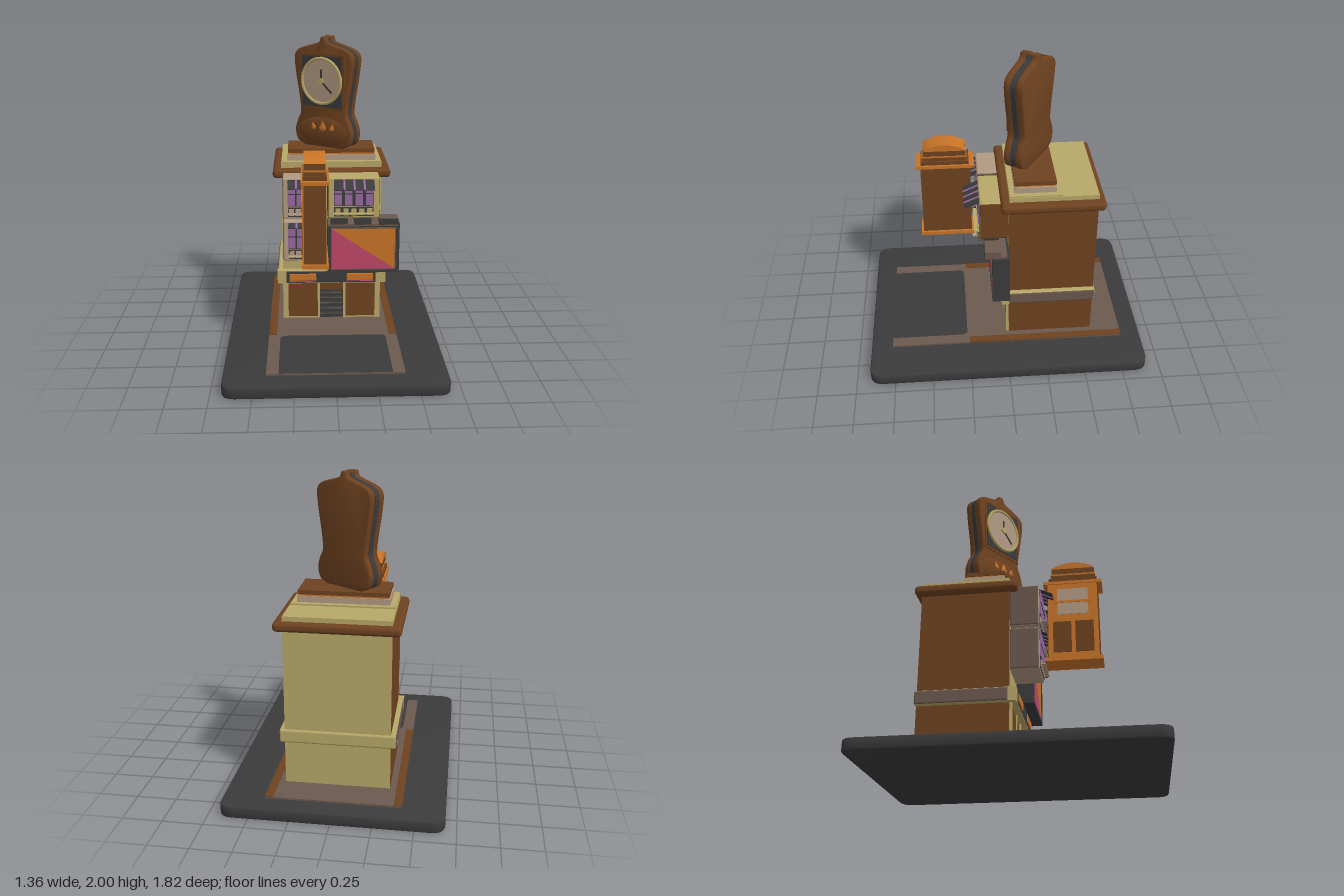
import * as THREE from 'three';
import { RoundedBoxGeometry } from 'three/addons/geometries/RoundedBoxGeometry.js';
import { toCreasedNormals } from 'three/addons/utils/BufferGeometryUtils.js';

const paint = (name, color) => {
  const m = new THREE.MeshStandardMaterial({ color });
  m.name = name;
  return m;
};

export function createModel() {
  const brown = paint('brown wood', 0x6e4220), dark = paint('charcoal', 0x3b3b3b);
  const cream = paint('cream', 0xb8a768), orange = paint('orange wood', 0xc87428);
  const taupe = paint('taupe', 0x6b594e), beige = paint('beige', 0xb29a82);
  const purple = paint('purple', 0x98699f), magenta = paint('magenta', 0xbe4668);
  const model = new THREE.Group();
  model.name = 'clockCabinet';

  const add = (parent, name, geo, mat, x = 0, y = 0, z = 0) => {
    const m = new THREE.Mesh(geo, mat);
    m.name = name;
    m.position.set(x, y, z);
    parent.add(m);
    return m;
  };
  // Box given by its bounds, optionally rounded
  const box = (parent, name, mat, x0, x1, y0, y1, z0, z1, r = 0) => {
    const s = [x1 - x0, y1 - y0, z1 - z0];
    const geo = r ? new RoundedBoxGeometry(...s, 3, r) : new THREE.BoxGeometry(...s);
    return add(parent, name, geo, mat, (x0 + x1) / 2, (y0 + y1) / 2, (z0 + z1) / 2);
  };
  const group = (name, parent = model) => {
    const g = new THREE.Group();
    g.name = name;
    parent.add(g);
    return g;
  };
  const sides = (side, rest) => [side, side, rest, rest, rest, rest];

  // Base slab with rounded corners
  const slab = new THREE.Shape();
  const w = 0.67, d = 0.9, r = 0.07;
  slab.moveTo(-w + r, -d).lineTo(w - r, -d).quadraticCurveTo(w, -d, w, -d + r)
    .lineTo(w, d - r).quadraticCurveTo(w, d, w - r, d)
    .lineTo(-w + r, d).quadraticCurveTo(-w, d, -w, d - r)
    .lineTo(-w, -d + r).quadraticCurveTo(-w, -d, -w + r, -d);
  const slabGeo = new THREE.ExtrudeGeometry(slab, {
    depth: 0.055, bevelThickness: 0.01, bevelSize: 0.012, bevelSegments: 2, curveSegments: 6 });
  slabGeo.rotateX(-Math.PI / 2);
  add(model, 'base', toCreasedNormals(slabGeo, 0.6), dark, 0, 0.01, 0);

  // Floor mat
  const mat = group('floorMat');
  box(mat, 'matField', taupe, -0.42, 0.42, 0.075, 0.086, -0.78, 0.77);
  for (const s of [-1, 1])
    box(mat, 'matStrip', brown, s * 0.395 - 0.025, s * 0.395 + 0.025, 0.075, 0.09, -0.78, 0.25);
  const carpet = new THREE.Shape();
  carpet.moveTo(-0.345, -0.77).lineTo(0.345, -0.77).lineTo(0.345, -0.29).lineTo(0.325, -0.265)
    .lineTo(-0.325, -0.265).lineTo(-0.345, -0.29);
  add(mat, 'carpet', new THREE.ShapeGeometry(carpet), dark, 0, 0.0875, 0).rotation.x = -Math.PI / 2;

  // Cabinet body with a stair recess in the lower half
  const cabinet = group('cabinet');
  const wood = sides(brown, cream);
  box(cabinet, 'upperBody', wood, -0.33, 0.33, 0.36, 1.12, -0.58, -0.015);
  box(cabinet, 'lowerBack', wood, -0.33, 0.33, 0.08, 0.36, -0.58, -0.22);
  box(cabinet, 'recessLintel', brown, -0.08, 0.08, 0.29, 0.36, -0.22, -0.02);
  for (const s of [-1, 1]) {
    const at = (a, b) => [Math.min(s * a, s * b), Math.max(s * a, s * b)];
    box(cabinet, 'lowerSide', wood, ...at(0.08, 0.33), 0.08, 0.36, -0.22, -0.015);
    box(cabinet, 'lowerPanel', brown, ...at(0.095, 0.295), 0.1, 0.355, -0.02, -0.009);
    box(cabinet, 'panelPost', cream, ...at(0.082, 0.094), 0.09, 0.36, -0.02, 0);
    box(cabinet, 'cornerPost', cream, ...at(0.296, 0.33), 0.09, 0.36, -0.02, 0);
  }
  for (let i = 0; i < 7; i++) {
    const top = 0.115 + i * 0.027, front = -0.02 - i * 0.027;
    box(cabinet, 'stairStep', dark, -0.08, 0.08, 0.08, top, -0.22, front);
    box(cabinet, 'stairNosing', taupe, -0.075, 0.075, top - 0.004, top, front, front + 0.003);
  }

  // Waist band with drawers
  box(cabinet, 'waistBand', sides(taupe, cream), -0.365, 0.365, 0.36, 0.45, -0.59, -0.015, 0.015);
  box(cabinet, 'waistShelf', cream, -0.365, 0.365, 0.36, 0.45, -0.02, 0.03);
  box(cabinet, 'drawerFrame', dark, -0.305, 0.295, 0.365, 0.445, 0.028, 0.034);
  for (const x of [-0.195, 0.19]) {
    box(cabinet, 'drawer', orange, x - 0.09, x + 0.09, 0.38, 0.43, 0.03, 0.039, 0.004);
    box(cabinet, 'drawerLine', magenta, x - 0.09, x + 0.09, 0.373, 0.378, 0.03, 0.037);
  }

  // Cornice and top plates
  box(cabinet, 'cornice', brown, -0.385, 0.385, 1.095, 1.155, -0.62, 0.035, 0.024);
  box(cabinet, 'topPlate', cream, -0.33, 0.33, 1.15, 1.185, -0.58, -0.02);
  box(cabinet, 'clockPlate', cream, -0.325, 0.325, 1.18, 1.195, -0.35, -0.02);

  // Clock plinth
  const plinth = group('clockPlinth');
  box(plinth, 'plinthBase', beige, -0.29, 0.29, 1.19, 1.235, -0.315, -0.055);
  box(plinth, 'plinthInlay', orange, -0.28, 0.28, 1.235, 1.25, -0.31, -0.06);
  box(plinth, 'plinthTop', brown, -0.285, 0.285, 1.245, 1.272, -0.315, -0.055);

  // Projecting displays: window, awning with struts, row of buttons
  const display = (name, x0, x1, y0, mats, face, ax0, ax1, reach) => {
    const g = group(name), y1 = y0 + 0.272;
    box(g, 'displayBox', mats, x0, x1, y0, y1, -0.02, 0.165, 0.012);
    box(g, 'window', dark, ax0, ax1, y0 + 0.085, y1 - 0.012, 0.16, 0.169);
    box(g, 'buttonPlate', dark, ax0, ax1, y0 + 0.015, y0 + 0.078, 0.16, 0.168);
    const step = (ax1 - ax0) / 5;
    for (let i = 0; i < 4; i++) {
      const x = ax0 + step * (i + 0.5) + step * i / 3;
      box(g, 'windowPane', purple, x - 0.024, x + 0.024, y0 + 0.09, y1 - 0.016, 0.167, 0.173);
      box(g, 'paneBar', dark, x - 0.024, x + 0.024, y0 + 0.165, y0 + 0.171, 0.172, 0.176);
    }
    for (let i = 0; i < 5; i++) {
      const x = ax0 + step * (i + 0.5);
      box(g, 'button', face, x - 0.017, x + 0.017, y0 + 0.024, y0 + 0.068, 0.166, 0.176);
    }
    box(g, 'buttonLedge', face, ax0, ax1, y0 + 0.035, y0 + 0.041, 0.165, 0.2);
    const awning = group('awning', g);
    awning.position.set(0, y1 - 0.012, 0.165);
    awning.rotation.x = 0.43;
    box(awning, 'awningSheet', dark, ax0, ax1, -0.004, 0, 0, reach);
    for (let i = 1; i < 4; i++) {
      const x = ax0 + (ax1 - ax0) * i / 4;
      box(awning, 'awningStrut', purple, x - 0.006, x + 0.006, -0.008, 0.005, 0, reach);
    }
  };
  display('upperLeftDisplay', -0.03, 0.305, 0.863, sides(brown, cream), cream, 0.01, 0.265, 0.105);
  display('upperRightDisplay', -0.32, -0.05, 0.863, sides(taupe, beige), beige, -0.285, -0.07, 0.09);
  display('lowerRightDisplay', -0.32, -0.05, 0.575, sides(taupe, beige), beige, -0.285, -0.07, 0.05);

  // Screen with a two-colour face
  const screen = group('screen');
  box(screen, 'screenCase', dark, -0.03, 0.445, 0.46, 0.8, -0.015, 0.085);
  box(screen, 'screenBezel', taupe, -0.015, 0.43, 0.47, 0.79, 0.08, 0.09);
  const tri = (name, m, pts) => add(screen, name,
    new THREE.ShapeGeometry(new THREE.Shape(pts.map(p => new THREE.Vector2(...p)))), m, 0, 0, 0.092);
  tri('screenLower', magenta, [[0, 0.485], [0.415, 0.485], [0, 0.765]]);
  tri('screenUpper', orange, [[0.415, 0.485], [0.415, 0.765], [0, 0.765]]);
  for (const [y0, y1] of [[0.46, 0.478], [0.778, 0.8]])
    box(screen, 'screenRail', dark, -0.03, 0.445, y0, y1, 0.08, 0.097);
  for (const x of [-0.022, 0.431])
    box(screen, 'screenStile', dark, x - 0.008, x + 0.014, 0.46, 0.8, 0.08, 0.097);
  box(screen, 'controlShelf', taupe, -0.03, 0.43, 0.8, 0.815, 0, 0.14);
  for (const [x0, x1] of [[-0.01, 0.1], [0.145, 0.255], [0.305, 0.43]])
    box(screen, 'controlBlock', x0 > 0.3 ? taupe : dark, x0, x1, 0.81, 0.85, 0.04, 0.14);
  box(screen, 'controlFace', dark, 0.305, 0.43, 0.81, 0.85, 0.138, 0.145);

  // Tall side tower facing the model's right
  const tower = group('tower');
  box(tower, 'towerBody', brown, -0.185, -0.05, 0.685, 1.2, 0.205, 0.53);
  box(tower, 'towerFoot', orange, -0.197, -0.035, 0.665, 0.69, 0.185, 0.547);
  box(tower, 'towerFront', orange, -0.194, -0.184, 0.69, 1.2, 0.21, 0.525);
  for (const [z0, z1, m] of [[0.24, 0.355, brown], [0.38, 0.495, brown]])
    box(tower, 'towerDoor', m, -0.197, -0.19, 0.72, 0.93, z0, z1);
  box(tower, 'towerWindow', beige, -0.197, -0.19, 0.98, 1.16, 0.27, 0.465);
  box(tower, 'towerBar', orange, -0.2, -0.19, 1.06, 1.075, 0.25, 0.485);
  box(tower, 'towerCornice', orange, -0.2, -0.03, 1.195, 1.215, 0.18, 0.557);
  box(tower, 'towerNeck', brown, -0.19, -0.045, 1.21, 1.24, 0.215, 0.525);
  box(tower, 'towerHead', brown, -0.18, -0.055, 1.235, 1.315, 0.235, 0.51);
  box(tower, 'towerHeadLine', orange, -0.184, -0.052, 1.265, 1.275, 0.228, 0.517);
  const arch = new THREE.Shape();
  arch.moveTo(-0.138, 0).lineTo(0.138, 0).lineTo(0.125, 0.012)
    .quadraticCurveTo(0, 0.075, -0.125, 0.012);
  const archGeo = new THREE.ExtrudeGeometry(arch, { depth: 0.13, bevelEnabled: false });
  archGeo.rotateY(-Math.PI / 2);
  add(tower, 'towerPediment', toCreasedNormals(archGeo, 0.5), orange, -0.052, 1.313, 0.372);

  // Mantel clock, turned towards the model's right
  const clock = group('clock');
  clock.position.set(-0.02, 1.27, -0.17);
  clock.rotation.y = -0.59;
  const half = [[0.14, 0], [0.2, 0.03], [0.22, 0.1], [0.2, 0.17], [0.175, 0.225], [0.185, 0.33],
    [0.21, 0.47], [0.222, 0.59], [0.185, 0.64], [0.07, 0.675], [0.03, 0.69], [0.018, 0.722]];
  const outline = (k) => {
    const pts = half.map(([x, y]) => new THREE.Vector3(x * k, 0.34 + (y - 0.34) * k, 0));
    const curve = new THREE.CatmullRomCurve3(pts, false, 'catmullrom', 0.4).getPoints(36);
    const right = curve.map(p => new THREE.Vector2(p.x, p.y));
    return new THREE.Shape([...right, ...right.slice().reverse().map(p => new THREE.Vector2(-p.x, p.y))]);
  };
  const layer = (name, m, k, z, depth, bevel) => {
    const geo = new THREE.ExtrudeGeometry(outline(k), { depth, bevelEnabled: bevel > 0,
      bevelThickness: bevel, bevelSize: bevel * 0.5, bevelOffset: -bevel * 0.5, bevelSegments: 3 });
    add(clock, name, toCreasedNormals(geo, 0.7), m, 0, 0, z);
  };
  layer('clockCore', dark, 0.99, -0.018, 0.036, 0);
  layer('clockFrontCase', brown, 1, 0.036, 0.008, 0.02);
  layer('clockBackCase', brown, 1, -0.044, 0.008, 0.02);
  const knob = add(clock, 'clockFinial', new THREE.SphereGeometry(0.022, 12, 8), brown, 0, 0.708, 0);
  knob.scale.set(1, 1, 1.5);
  add(clock, 'finialGem', new THREE.SphereGeometry(0.014, 10, 8), orange, 0, 0.706, 0.03);
  const belly = add(clock, 'clockBelly', new THREE.SphereGeometry(0.1, 24, 14), brown, 0, 0.105, 0.055);
  belly.scale.set(2, 1, 0.28);

  // Dial, ring, hands and ornament
  box(clock, 'dialFrame', brown, -0.165, 0.165, 0.25, 0.612, 0.06, 0.07);
  box(clock, 'dialBack', dark, -0.15, 0.15, 0.27, 0.6, 0.066, 0.075);
  const disc = (name, m, rad, z, t) =>
    add(clock, name, new THREE.CylinderGeometry(rad, rad, t, 40), m, 0, 0.44, z).rotation.x = Math.PI / 2;
  disc('dial', beige, 0.148, 0.076, 0.008);
  add(clock, 'dialRing', new THREE.TorusGeometry(0.146, 0.011, 8, 40), cream, 0, 0.44, 0.078);
  disc('dialHub', cream, 0.02, 0.086, 0.009);
  for (const [len, angle] of [[0.075, 0], [0.11, -2.3]]) {
    const hand = group('clockHand', clock);
    hand.position.set(0, 0.44, 0.083);
    hand.rotation.z = angle;
    box(hand, 'hand', dark, -0.006, 0.006, 0, len, -0.002, 0.002);
  }
  for (const x of [-0.07, 0, 0.07]) {
    const drop = [[0, -0.028], [0.02, -0.016], [0.024, 0], [0.012, 0.02], [0, 0.046]]
      .map(p => new THREE.Vector2(...p));
    const petal = add(clock, 'petal', new THREE.LatheGeometry(drop, 12), orange, x + 0.01, 0.135, 0.079);
    petal.scale.set(x ? 0.8 : 1.2, x ? 0.75 : 1.05, 0.4);
    petal.rotation.z = -x * 4;
  }
  return model;
}
